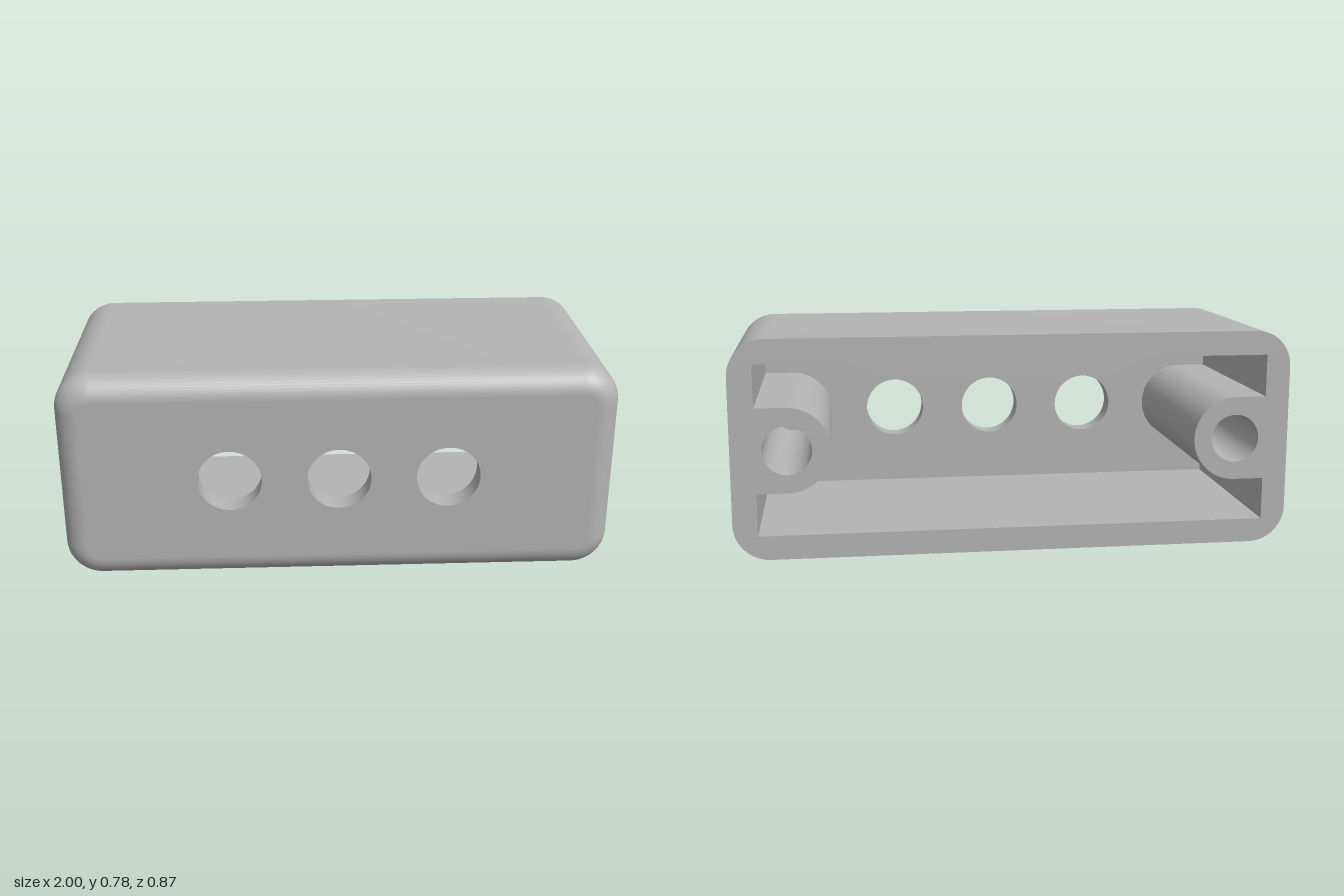
import * as THREE from 'three';
import { toCreasedNormals } from 'three/addons/utils/BufferGeometryUtils.js';

const W = 1, H = 0.3915, D = 0.435;      // half sizes of the housing
const WALL = 0.087, CORNER = 0.13;       // wall thickness (also the front fillet), corner radius
const INNER = D - WALL;                  // inside of the front wall
const PORT_R = 0.115, PORT_X = [-0.392, 0, 0.392];
const BOSS_X = 0.804, BOSS_R = 0.152, SCREW_R = 0.087;
const STEPS = 12;

// Directions and corner centres around the rounded outline, anticlockwise
function outline() {
  const list = [];
  for (let q = 0; q < 4; q++) {
    const sx = q === 0 || q === 3 ? 1 : -1, sy = q < 2 ? 1 : -1;
    for (let i = 0; i <= STEPS; i++) {
      const a = (q + i / STEPS) * Math.PI / 2;
      list.push({ cx: sx * (W - CORNER), cy: sy * (H - CORNER), nx: Math.cos(a), ny: Math.sin(a) });
    }
  }
  return list;
}

const outlineShape = (radius) =>
  new THREE.Shape(outline().map(p => new THREE.Vector2(p.cx + p.nx * radius, p.cy + p.ny * radius)));

const rectPoints = (w, h) => [[-w, -h], [w, -h], [w, h], [-w, h]].map(p => new THREE.Vector2(...p));

const circle = (x, r) => new THREE.Path().absarc(x, 0, r, 0, Math.PI * 2, true);

// Extrusion from the open back to the inside of the front wall
function extrude(shape) {
  const g = new THREE.ExtrudeGeometry(shape, { depth: INNER + D, bevelEnabled: false, curveSegments: 32 });
  g.translate(0, 0, -D);
  return toCreasedNormals(g, 0.5);
}

// Rounded edge between the sides and the front face, with exact normals
function filletGeometry() {
  const ring = outline(), n = ring.length, pos = [], nor = [], idx = [];
  for (let j = 0; j <= STEPS; j++) {
    const b = j / STEPS * Math.PI / 2, c = Math.cos(b), s = Math.sin(b);
    const r = CORNER - WALL + WALL * c;
    for (const p of ring) {
      pos.push(p.cx + p.nx * r, p.cy + p.ny * r, INNER + WALL * s);
      nor.push(p.nx * c, p.ny * c, s);
    }
  }
  for (let j = 0; j < STEPS; j++) {
    for (let i = 0; i < n; i++) {
      const a = j * n + i, b = j * n + (i + 1) % n;
      idx.push(a, b, b + n, a, b + n, a + n);
    }
  }
  const g = new THREE.BufferGeometry();
  g.setAttribute('position', new THREE.Float32BufferAttribute(pos, 3));
  g.setAttribute('normal', new THREE.Float32BufferAttribute(nor, 3));
  g.setIndex(idx);
  return g;
}

export function createModel() {
  const model = new THREE.Group();
  model.name = 'housing';
  const grey = new THREE.MeshStandardMaterial({ color: 0xb4b4b4 });
  grey.name = 'grey plastic';
  const greyInside = grey.clone();
  greyInside.name = 'grey plastic';
  greyInside.side = THREE.DoubleSide;

  const add = (name, geometry, material = grey) => {
    const mesh = new THREE.Mesh(geometry, material);
    mesh.name = name;
    mesh.position.y = H;
    model.add(mesh);
    return mesh;
  };

  // Four side walls, open at the back
  const walls = outlineShape(CORNER);
  walls.holes.push(new THREE.Path(rectPoints(W - WALL, H - WALL)));
  add('sideWalls', extrude(walls));

  // Front wall: rounded edge, outer face and inner face
  add('frontFillet', filletGeometry());
  const face = outlineShape(CORNER - WALL);
  const inside = new THREE.Shape(rectPoints(W - WALL, H - WALL));
  for (const x of PORT_X) {
    face.holes.push(circle(x, PORT_R));
    inside.holes.push(circle(x, PORT_R));
  }
  add('frontFace', new THREE.ShapeGeometry(face, 32)).position.z = D;
  const inner = add('frontInnerFace', new THREE.ShapeGeometry(inside, 32));
  inner.rotation.y = Math.PI;
  inner.position.z = INNER;

  // Bores of the three front holes
  for (const x of PORT_X) {
    const bore = new THREE.CylinderGeometry(PORT_R, PORT_R, WALL, 64, 1, true).rotateX(Math.PI / 2);
    add('portBore', bore, greyInside).position.set(x, H, D - WALL / 2);
  }

  // Screw bosses joined to the left and right walls
  for (const side of [1, -1]) {
    const boss = new THREE.Shape();
    const edge = W - WALL;
    if (side > 0) {
      boss.moveTo(edge, -BOSS_R).lineTo(edge, BOSS_R).lineTo(BOSS_X, BOSS_R);
      boss.absarc(BOSS_X, 0, BOSS_R, Math.PI / 2, Math.PI * 1.5, false);
    } else {
      boss.moveTo(-edge, BOSS_R).lineTo(-edge, -BOSS_R).lineTo(-BOSS_X, -BOSS_R);
      boss.absarc(-BOSS_X, 0, BOSS_R, -Math.PI / 2, Math.PI / 2, false);
    }
    boss.holes.push(circle(side * BOSS_X, SCREW_R));
    add(side > 0 ? 'leftScrewBoss' : 'rightScrewBoss', extrude(boss));
  }
  return model;
}
